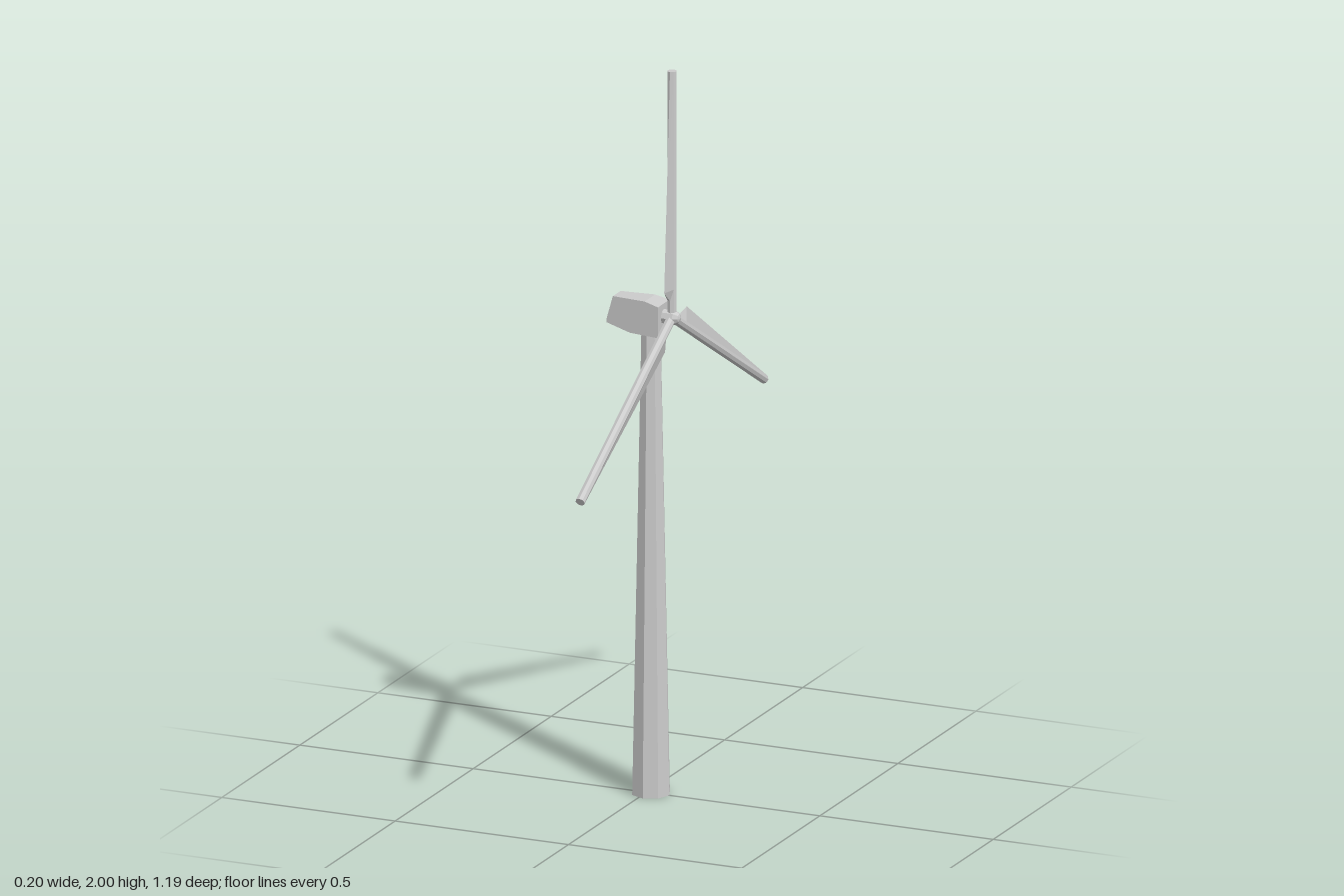
import * as THREE from 'three';

const material = new THREE.MeshStandardMaterial({ color: 0xcccccc, flatShading: true });

function part(name, geometry, parent) {
  geometry.computeVertexNormals();
  const mesh = new THREE.Mesh(geometry, material);
  mesh.name = name;
  parent.add(mesh);
  return mesh;
}

// Side profile extruded to unit half-width, then narrowed toward the tail
function nacelleGeometry() {
  const profile = [
    [-0.105, 1.29], [-0.035, 1.272], [0.045, 1.27], [0.05, 1.28],
    [0.05, 1.355], [0.01, 1.365], [-0.086, 1.365], [-0.105, 1.30],
  ].map(([x, y]) => new THREE.Vector2(x, y));
  const geometry = new THREE.ExtrudeGeometry(new THREE.Shape(profile), { depth: 2, bevelEnabled: false });
  geometry.translate(0, 0, -1);
  const p = geometry.attributes.position;
  for (let i = 0; i < p.count; i++) {
    p.setZ(i, p.getZ(i) * THREE.MathUtils.mapLinear(p.getX(i), -0.105, 0.05, 0.023, 0.038));
  }
  return geometry;
}

// Octagonal spar whose rear corner is drawn out into a tapering trailing edge
function bladeGeometry(radius, length) {
  const stations = [0, 0.048, 0.08, length];
  const trailing = [radius, radius, 0.05, radius];
  const geometry = new THREE.CylinderGeometry(radius, radius, length, 8, 3);
  const p = geometry.attributes.position;
  for (let i = 0; i < p.count; i++) {
    const row = Math.round((p.getY(i) / length + 0.5) * 3);
    p.setY(i, stations[row]);
    if (p.getZ(i) > radius * 0.95) p.setZ(i, trailing[row]);
  }
  return geometry;
}

export function createModel() {
  const model = new THREE.Group();
  model.name = 'windTurbine';

  // Tapered octagonal tower
  const tower = part('tower', new THREE.CylinderGeometry(0.027, 0.053, 1.29, 8), model);
  tower.position.set(0.013, 0.645, 0);

  part('nacelle', nacelleGeometry(), model);

  // Rotor turns about the x axis
  const rotor = new THREE.Group();
  rotor.name = 'rotor';
  rotor.position.set(0.0735, 1.32, 0);
  model.add(rotor);

  const hubProfile = [[0, -0.03], [0.02, -0.03], [0.02, 0.008], [0.012, 0.021], [0, 0.025]];
  const hub = part('hub', new THREE.LatheGeometry(hubProfile.map(([r, y]) => new THREE.Vector2(r, y)), 8), rotor);
  hub.rotation.z = -Math.PI / 2;

  const blade = bladeGeometry(0.013, 0.68);
  for (let i = 0; i < 3; i++) {
    part('blade' + (i + 1), blade, rotor).rotation.x = (i * Math.PI * 2) / 3;
  }
  return model;
}
